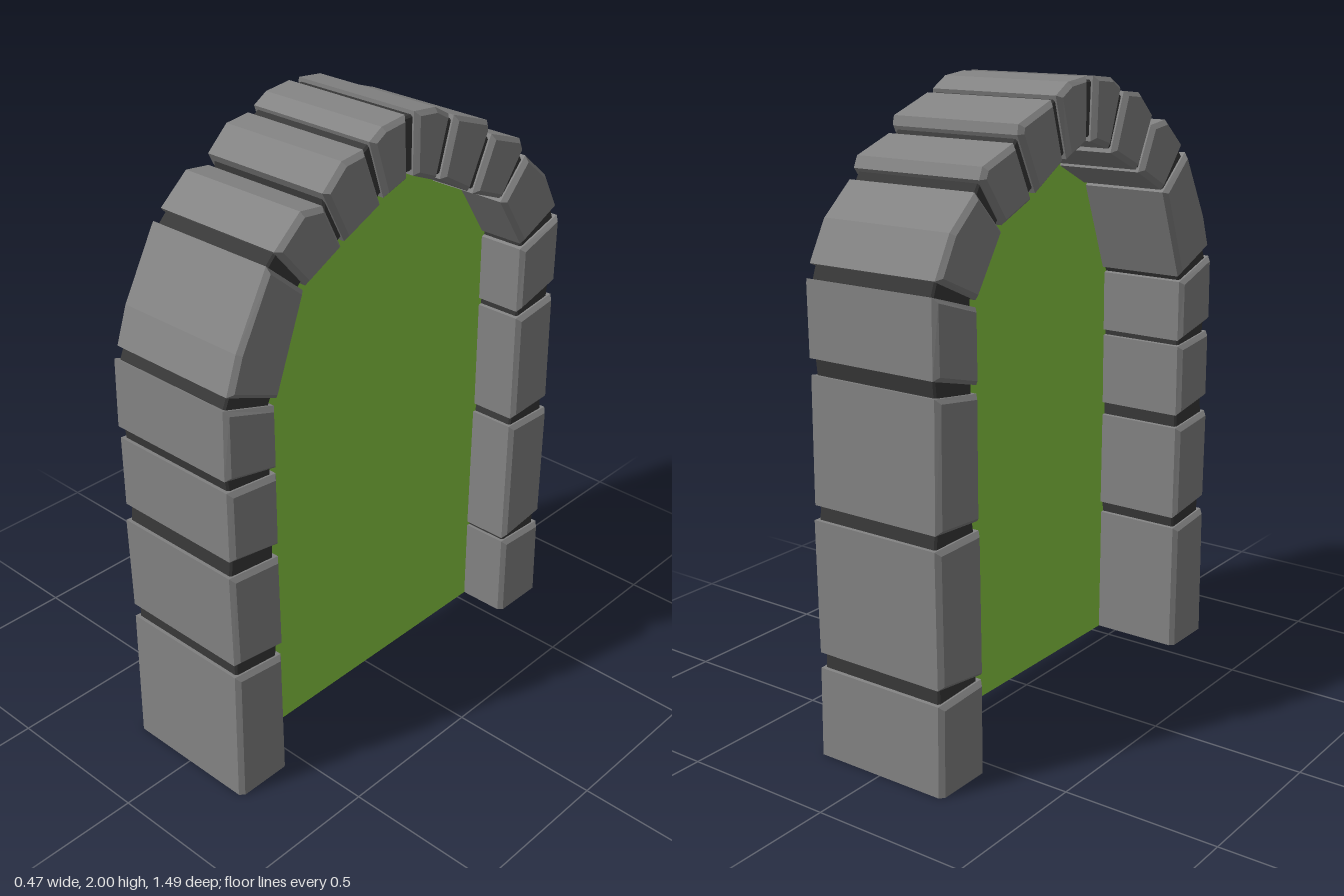
import * as THREE from 'three';

// Stone outlines as [z, y], running up the +z jamb, over the arch and down the -z jamb.
// Each one goes: inner start, outer points, inner end.
const STONES = [
  [[0.545, -0.02], [0.745, -0.02], [0.74, 0.455], [0.55, 0.435]],
  [[0.545, 0.475], [0.74, 0.5], [0.745, 0.815], [0.55, 0.795]],
  [[0.55, 0.84], [0.74, 0.87], [0.74, 1.1], [0.55, 1.08]],
  [[0.55, 1.1], [0.745, 1.14], [0.74, 1.36], [0.55, 1.3]],
  [[0.54, 1.32], [0.725, 1.395], [0.685, 1.51], [0.565, 1.725], [0.43, 1.61]],
  [[0.42, 1.62], [0.535, 1.755], [0.435, 1.84], [0.35, 1.83], [0.28, 1.69]],
  [[0.265, 1.7], [0.35, 1.865], [0.275, 1.935], [0.19, 1.945], [0.12, 1.765]],
  [[0.105, 1.78], [0.165, 1.96], [0.115, 1.99], [0.02, 2.0], [0.01, 1.81]],
  [[-0.02, 1.81], [-0.02, 2.0], [-0.11, 1.99], [-0.17, 1.955], [-0.115, 1.77]],
  [[-0.14, 1.765], [-0.195, 1.945], [-0.35, 1.89], [-0.355, 1.86], [-0.27, 1.69]],
  [[-0.295, 1.675], [-0.375, 1.84], [-0.515, 1.79], [-0.53, 1.755], [-0.43, 1.62]],
  [[-0.435, 1.605], [-0.55, 1.725], [-0.66, 1.63], [-0.725, 1.51], [-0.55, 1.43]],
  [[-0.55, 1.41], [-0.74, 1.47], [-0.74, 1.24], [-0.55, 1.19]],
  [[-0.55, 1.165], [-0.735, 1.19], [-0.74, 0.8], [-0.55, 0.79]],
  [[-0.545, 0.76], [-0.745, 0.755], [-0.74, 0.335], [-0.54, 0.31]],
  [[-0.54, 0.295], [-0.74, 0.285], [-0.745, -0.02], [-0.54, -0.02]],
];

const toShape = (pts) => new THREE.Shape(pts.map(([z, y]) => new THREE.Vector2(z, y)));

// Extrudes a [z, y] outline across x, with a bevelled rim; offset moves the rim inwards.
function slab(pts, width, bevel, offset) {
  const geo = new THREE.ExtrudeGeometry(toShape(pts), {
    depth: width - 2 * bevel, bevelEnabled: true, bevelSegments: 1,
    bevelThickness: bevel, bevelSize: bevel, bevelOffset: offset, steps: 1,
  });
  geo.translate(0, 0, bevel - width / 2);
  geo.rotateY(-Math.PI / 2);
  // Flat footing on the ground
  const p = geo.attributes.position;
  for (let i = 0; i < p.count; i++) p.setY(i, Math.max(0, p.getY(i)));
  geo.computeVertexNormals();
  return geo;
}

export function createModel() {
  const group = new THREE.Group();
  const stone = new THREE.MeshStandardMaterial({ color: 0x838383 });
  stone.name = 'stone grey';
  const mortar = new THREE.MeshStandardMaterial({ color: 0x383838 });
  mortar.name = 'mortar dark grey';
  const green = new THREE.MeshStandardMaterial({ color: 0x8acc42, side: THREE.DoubleSide });
  green.name = 'panel green';

  const add = (name, geo, mat) => {
    const mesh = new THREE.Mesh(geo, mat);
    mesh.name = name;
    group.add(mesh);
    return mesh;
  };

  // Bevelled arch stones
  STONES.forEach((pts, i) => add(`archStone${i + 1}`, slab(pts, 0.475, 0.014, -0.014), stone));

  // Recessed mortar core that fills the joints
  const outer = STONES.flatMap((s) => s.slice(1, -1));
  const inner = STONES.flatMap((s) => [s[0], s[s.length - 1]]);
  add('mortarCore', slab([...outer, ...inner.slice().reverse()], 0.435, 0.006, -0.018), mortar);

  // Thin panel filling the doorway, tucked slightly into the stones
  const panelPts = inner.map(([z, y]) => [z * 1.025, Math.max(0, y * 1.008)]);
  const panel = add('doorwayPanel', new THREE.ShapeGeometry(toShape(panelPts)), green);
  panel.geometry.rotateY(Math.PI / 2);
  panel.geometry.scale(1, 1, -1);
  panel.geometry.translate(0.07, 0, 0);
  // Reflection flips the winding, so restore a +x facing side
  const idx = panel.geometry.index;
  for (let i = 0; i < idx.count; i += 3) {
    const a = idx.getX(i);
    idx.setX(i, idx.getX(i + 1));
    idx.setX(i + 1, a);
  }
  panel.geometry.computeVertexNormals();

  return group;
}
